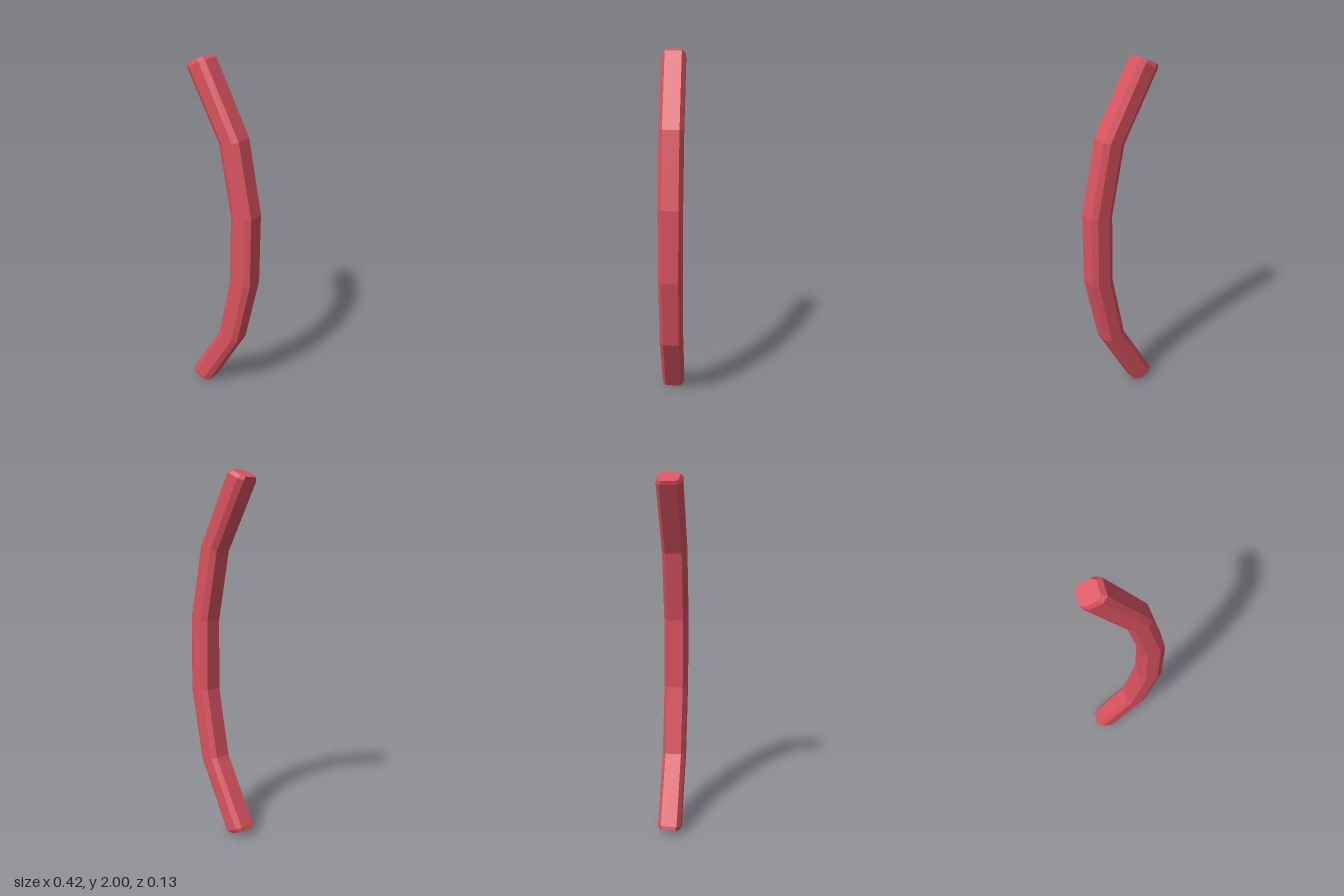
import * as THREE from 'three';

export function createModel() {
  const group = new THREE.Group();

  // Eight-sided section: u runs across the bend, v is depth in z
  const section = [
    [1, -0.045], [0.54, -0.065], [-0.54, -0.065], [-1, -0.045],
    [-1, 0.045], [-0.54, 0.065], [0.54, 0.065], [1, 0.045],
  ];

  // Upper half of the bar: centre x, y, half-width vector x, y, depth scale
  const upper = [
    [0.142, 1.2, 0.066, 0.003, 1],
    [0.061, 1.595, 0.062, 0.015, 1],
    [-0.144, 1.964, 0.058, 0.027, 1],
    [-0.161, 1.978, 0.047, 0.022, 0.83], // bevelled end
  ];
  const lower = upper.map(([x, y, hx, hy, s]) => [x, 2 - y, hx, -hy, s]).reverse();
  const rings = [...lower, ...upper];

  const points = rings.map(([x, y, hx, hy, s]) =>
    section.map(([u, v]) => [x + u * hx, y + u * hy, v * s]));

  // Skin the rings and close both ends
  const positions = [];
  const tri = (a, b, c) => positions.push(...a, ...b, ...c);
  const n = section.length;
  for (let i = 0; i < points.length - 1; i++) {
    for (let j = 0; j < n; j++) {
      const k = (j + 1) % n;
      const a = points[i][j], b = points[i][k];
      const c = points[i + 1][k], d = points[i + 1][j];
      tri(a, b, c);
      tri(a, c, d);
    }
  }
  const first = points[0], last = points[points.length - 1];
  for (let j = 1; j < n - 1; j++) {
    tri(first[0], first[j + 1], first[j]);
    tri(last[0], last[j], last[j + 1]);
  }

  const geometry = new THREE.BufferGeometry();
  geometry.setAttribute('position', new THREE.Float32BufferAttribute(positions, 3));
  geometry.computeVertexNormals();

  const bar = new THREE.Mesh(geometry, new THREE.MeshStandardMaterial({ color: 0xd9535f, flatShading: true }));
  bar.name = 'curvedBar';
  group.add(bar);
  return group;
}
